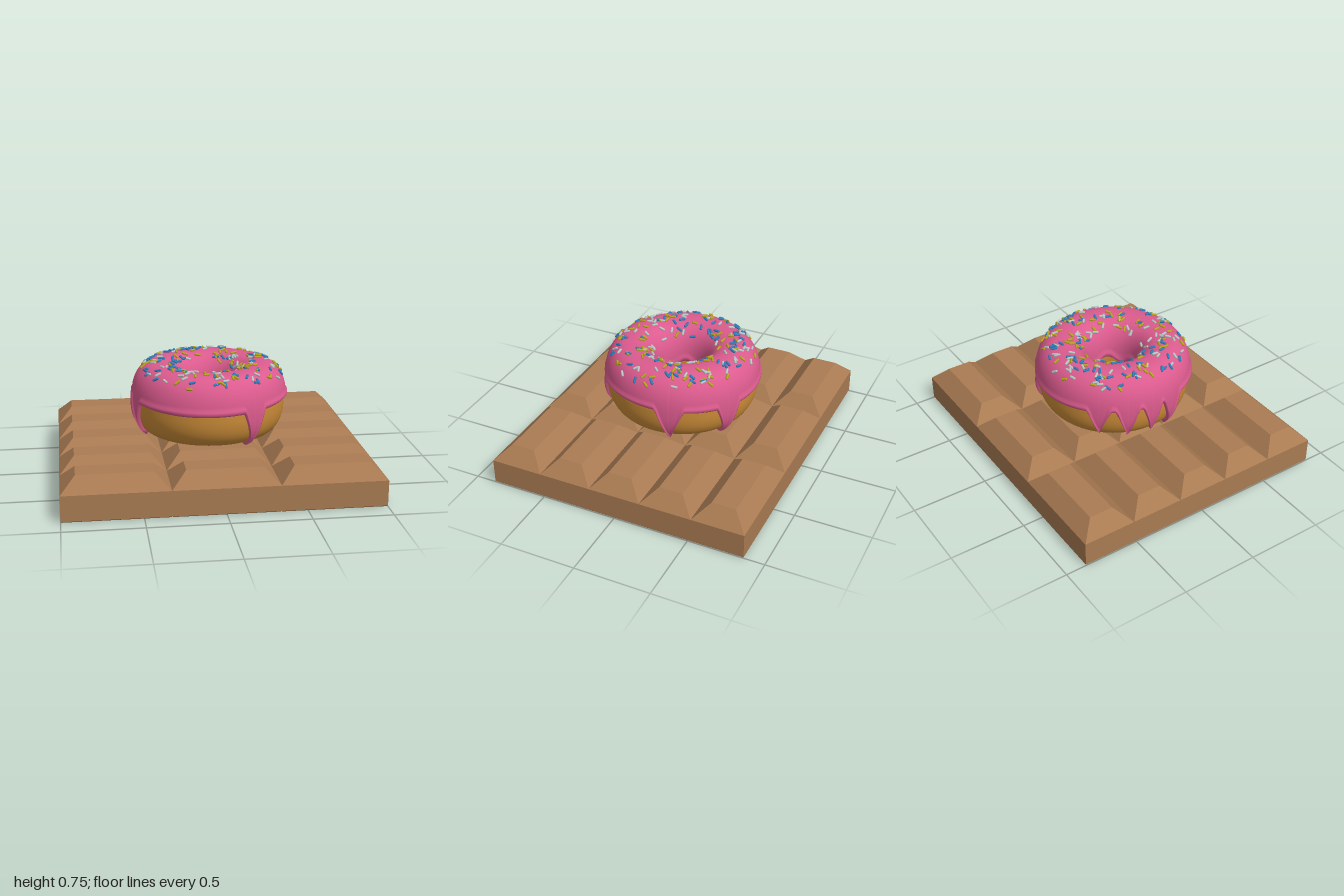
import * as THREE from 'three';
import { mergeGeometries } from 'three/addons/utils/BufferGeometryUtils.js';

const mat = (name, color) => {
  const m = new THREE.MeshStandardMaterial({ color });
  m.name = name;
  return m;
};

// Squashed ring: centre radius, centre height, half width, half height
const R = 0.333, CY = 0.495, A = 0.165, B = 0.225, POW = 2 / 2.4;
const soft = (v) => Math.sign(v) * Math.pow(Math.abs(v), POW);

// Radius and height on the ring's section, pushed out by an offset
const section = (phi, off = 0) => [
  R + (A + off) * soft(Math.cos(phi)),
  CY + (B + off) * soft(Math.sin(phi)),
];
const ringPoint = (theta, phi, off) => {
  const [r, y] = section(phi, off);
  return new THREE.Vector3(r * Math.cos(theta), y, r * Math.sin(theta));
};
// Section angle on the outer side for a given height
const phiAt = (y) => {
  const s = THREE.MathUtils.clamp((y - CY) / B, -1, 1);
  return Math.asin(Math.sign(s) * Math.pow(Math.abs(s), 1 / POW));
};

// One chocolate piece: straight sides, sloped shoulders, flat top
function blockGeometry(w, d) {
  const rings = [[0.006, 0], [0, 0.006], [0, 0.17], [0.095, 0.265]];
  const pos = [];
  const corner = ([inset, y], i) => {
    const sx = [1, 1, -1, -1][i % 4], sz = [1, -1, -1, 1][i % 4];
    return [sx * (w / 2 - inset), y, sz * (d / 2 - inset)];
  };
  const quad = (a, b, c, e) => pos.push(...a, ...b, ...c, ...a, ...c, ...e);
  for (let k = 0; k < rings.length - 1; k++) {
    for (let i = 0; i < 4; i++) {
      quad(corner(rings[k], i), corner(rings[k], i + 1),
        corner(rings[k + 1], i + 1), corner(rings[k + 1], i));
    }
  }
  const top = rings[rings.length - 1], low = rings[0];
  quad(corner(top, 0), corner(top, 1), corner(top, 2), corner(top, 3));
  quad(corner(low, 3), corner(low, 2), corner(low, 1), corner(low, 0));
  const g = new THREE.BufferGeometry();
  g.setAttribute('position', new THREE.Float32BufferAttribute(pos, 3));
  g.computeVertexNormals();
  return g;
}

// Drips: direction in degrees, half width in degrees, depth
const DRIPS = [
  [62, 9, 0.235], [-15, 11, 0.22], [-60, 10, 0.23],
  [224, 9, 0.17], [203, 9, 0.2], [184, 8, 0.19], [166, 9, 0.22],
];
function outerEdge(theta) {
  const deg = THREE.MathUtils.radToDeg(theta);
  let y = 0.51 + 0.01 * Math.sin(2 * theta + 1);
  for (const [at, half, depth] of DRIPS) {
    const d = Math.abs(((deg - at + 540) % 360 + 360) % 360 - 180);
    y -= depth * Math.pow(Math.max(0, 1 - d / half), 1.15);
  }
  return phiAt(Math.max(y, 0.275));
}
const innerEdge = (theta) => Math.PI - phiAt(0.47 + 0.02 * Math.sin(5 * theta));

// Icing shell with a raised lip along both edges
function icingGeometry() {
  const COLS = 360, MID = 36, SKIN = 0.014;
  const lip = [[0, -0.012], [0, 0.012], [0.04, 0.022], [0.09, 0.022], [0.13, SKIN]];
  const rows = lip.length * 2 + MID;
  const pos = [], idx = [];
  for (let i = 0; i < COLS; i++) {
    const theta = (i / COLS) * Math.PI * 2;
    const p0 = outerEdge(theta), p1 = innerEdge(theta);
    const add = (phi, off) => pos.push(...ringPoint(theta, phi, off).toArray());
    for (const [d, off] of lip) add(p0 + d, off);
    for (let k = 1; k <= MID; k++) {
      add(THREE.MathUtils.lerp(p0 + 0.13, p1 - 0.13, k / (MID + 1)), SKIN);
    }
    for (const [d, off] of [...lip].reverse()) add(p1 - d, off);
    const next = ((i + 1) % COLS) * rows;
    for (let j = 0; j < rows - 1; j++) {
      const a = i * rows + j, b = next + j;
      idx.push(a, a + 1, b, a + 1, b + 1, b);
    }
  }
  const g = new THREE.BufferGeometry();
  g.setAttribute('position', new THREE.Float32BufferAttribute(pos, 3));
  g.setIndex(idx);
  g.computeVertexNormals();
  return g;
}

export function createModel() {
  const model = new THREE.Group();
  model.name = 'doughnutOnChocolate';

  // Chocolate bar, three by five pieces
  const chocolate = mat('milk chocolate', 0xa97b52);
  const bar = new THREE.Group();
  bar.name = 'chocolateBar';
  const w = 2 / 3, d = 1.73 / 5;
  const block = blockGeometry(w, d);
  for (let c = -1; c <= 1; c++) {
    for (let r = -2; r <= 2; r++) {
      const piece = new THREE.Mesh(block, chocolate);
      piece.name = 'chocolatePiece';
      piece.position.set(c * w, 0, r * d);
      bar.add(piece);
    }
  }
  model.add(bar);

  // Dough ring
  const profile = [];
  for (let i = 0; i <= 64; i++) {
    profile.push(new THREE.Vector2(...section((i / 64) * Math.PI * 2)));
  }
  const dough = new THREE.Mesh(new THREE.LatheGeometry(profile, 96), mat('baked dough', 0xcb8c38));
  dough.name = 'dough';
  model.add(dough);

  // Icing
  const icingMat = mat('pink icing', 0xdc5b8e);
  icingMat.side = THREE.DoubleSide;
  const icing = new THREE.Mesh(icingGeometry(), icingMat);
  icing.name = 'icing';
  model.add(icing);

  // Sprinkles lying flat on the icing in random directions
  let seed = 7;
  const rand = () => (seed = (seed * 16807) % 2147483647) / 2147483647;
  const capsule = new THREE.CapsuleGeometry(0.0085, 0.029, 2, 7);
  const batches = [[], [], []];
  for (let i = 0; i < 225; i++) {
    const theta = rand() * Math.PI * 2;
    const r = Math.sqrt(THREE.MathUtils.lerp(0.19 ** 2, 0.475 ** 2, Math.pow(rand(), 1.15)));
    const c = (r - R) / (A + 0.014);
    const phi = Math.acos(Math.sign(c) * Math.pow(Math.abs(c), 1 / POW));
    const at = ringPoint(theta, phi, 0.018);
    const around = new THREE.Vector3(-Math.sin(theta), 0, Math.cos(theta));
    const along = ringPoint(theta, phi + 0.02, 0.018).sub(ringPoint(theta, phi - 0.02, 0.018)).normalize();
    const spin = rand() * Math.PI;
    const dir = around.multiplyScalar(Math.cos(spin)).addScaledVector(along, Math.sin(spin));
    const turn = new THREE.Quaternion().setFromUnitVectors(new THREE.Vector3(0, 1, 0), dir.normalize());
    const m = new THREE.Matrix4().compose(at, turn, new THREE.Vector3(1, 1, 1));
    batches[i % 3].push(capsule.clone().applyMatrix4(m));
  }
  const colours = [['blue', 0x2f7fbd], ['yellow', 0xb8a51e], ['white', 0xbcc8c6]];
  colours.forEach(([name, hex], i) => {
    const mesh = new THREE.Mesh(mergeGeometries(batches[i]), mat(name + ' sugar', hex));
    mesh.name = name + 'Sprinkles';
    model.add(mesh);
  });

  return model;
}
